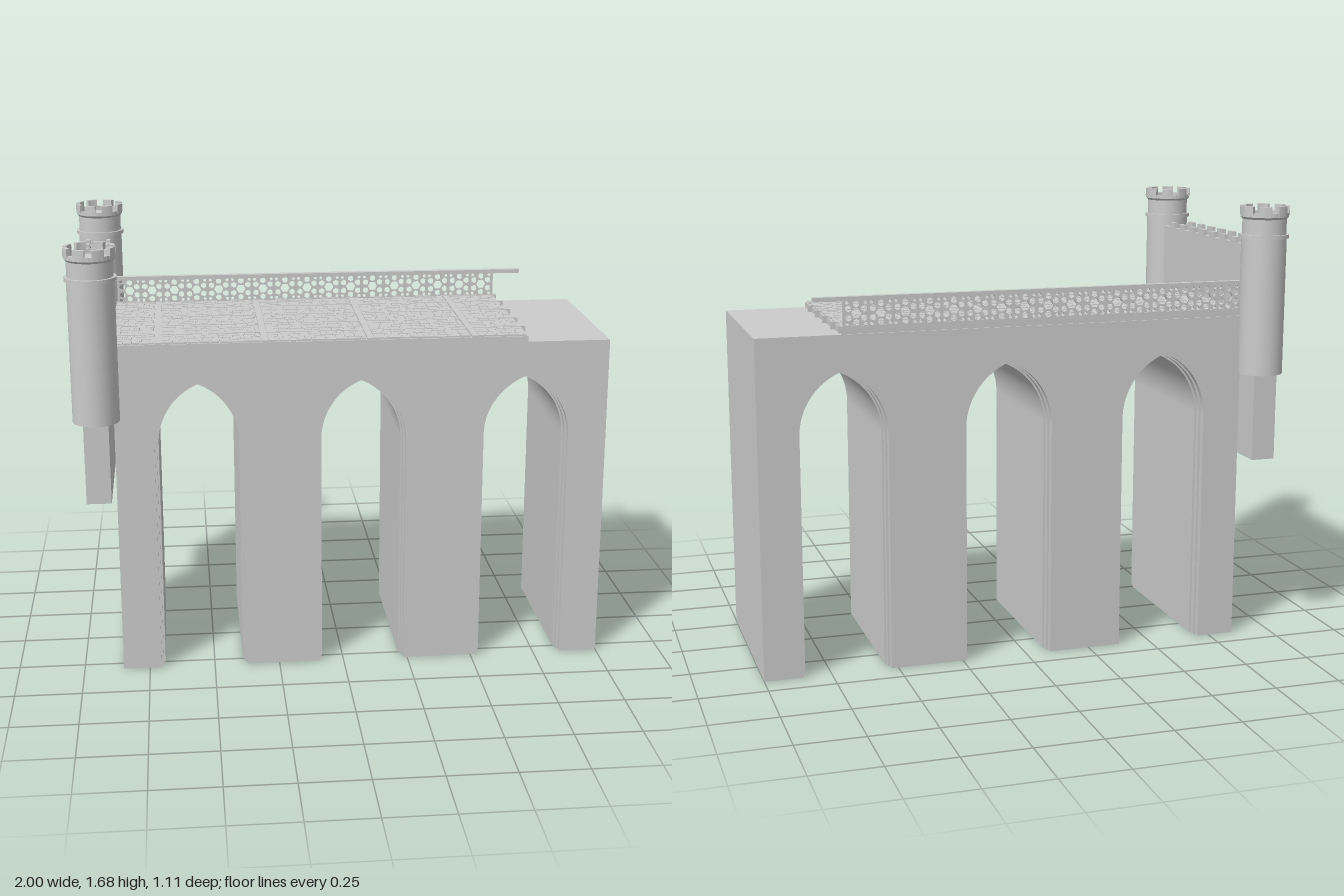
import * as THREE from 'three';
import { mergeGeometries } from 'three/addons/utils/BufferGeometryUtils.js';

const mat = new THREE.MeshStandardMaterial({ color: 0xcccccc });
const flat = new THREE.MeshStandardMaterial({ color: 0xcccccc, flatShading: true });

// Box given by its min and max on each axis
function block(x0, x1, y0, y1, z0, z1) {
  return new THREE.BoxGeometry(x1 - x0, y1 - y0, z1 - z0)
    .translate((x0 + x1) / 2, (y0 + y1) / 2, (z0 + z1) / 2);
}

function add(parent, name, geometry, material = mat) {
  const mesh = new THREE.Mesh(geometry, material);
  mesh.name = name;
  parent.add(mesh);
  return mesh;
}

function seeded(seed) {
  return () => (seed = (seed * 16807) % 2147483647) / 2147483647;
}

// Elevation with three pointed arches open at the ground
function arcadeSlice(halfWidth, rise, z0, z1) {
  const spring = 0.89;
  const shape = new THREE.Shape();
  shape.moveTo(-0.85, 0);
  const c = (rise * rise - halfWidth * halfWidth) / (2 * halfWidth);
  const radius = halfWidth + c;
  const apex = Math.acos(c / radius);
  for (const x of [-0.54, 0.07, 0.69]) {
    shape.lineTo(x - halfWidth, 0);
    shape.lineTo(x - halfWidth, spring);
    shape.absarc(x + c, spring, radius, Math.PI, Math.PI - apex, true);
    shape.absarc(x - c, spring, radius, apex, 0, true);
    shape.lineTo(x + halfWidth, 0);
  }
  shape.lineTo(1, 0);
  shape.lineTo(1, 1.26);
  shape.lineTo(-0.85, 1.26);
  return new THREE.ExtrudeGeometry(shape, { depth: z1 - z0, bevelEnabled: false, curveSegments: 14 })
    .translate(0, 0, z0);
}

function createArcade() {
  const group = new THREE.Group();
  group.name = 'arcade';
  add(group, 'arcadeCore', arcadeSlice(0.15, 0.225, -0.355, 0.25));
  add(group, 'frontInnerReveal', arcadeSlice(0.157, 0.233, 0.25, 0.275));
  add(group, 'frontOuterReveal', arcadeSlice(0.165, 0.24, 0.275, 0.3));
  add(group, 'backInnerReveal', arcadeSlice(0.157, 0.233, -0.38, -0.355));
  add(group, 'backOuterReveal', arcadeSlice(0.165, 0.24, -0.405, -0.38));
  return group;
}

// Slab, dividing bands and small irregular paving stones
function createPaving() {
  const group = new THREE.Group();
  group.name = 'paving';
  add(group, 'pavingBed', block(-0.85, 0.69, 1.255, 1.281, -0.4, 0.3));
  const crossX = [-0.68, -0.29, 0.1, 0.49];
  const longZ = [-0.28, -0.13, 0.015, 0.16];
  const bands = [
    ...crossX.map((x) => block(x - 0.012, x + 0.012, 1.262, 1.288, -0.398, 0.302)),
    ...longZ.map((z) => block(-0.85, 0.705, 1.262, 1.288, z - 0.008, z + 0.008)),
  ];
  add(group, 'pavingBands', mergeGeometries(bands));
  const rand = seeded(17);
  const xs = [-0.86, ...crossX, 0.702];
  const zs = [-0.405, ...longZ, 0.308];
  const stones = [];
  for (let i = 0; i < 5; i++) {
    for (let j = 0; j < 5; j++) {
      const z0 = zs[j] + 0.011, rows = 4, dz = (zs[j + 1] - 0.011 - z0) / rows;
      for (let r = 0; r < rows; r++) {
        let x = xs[i] + 0.014;
        const end = xs[i + 1] - 0.014;
        while (x < end - 0.01) {
          const next = Math.min(end, x + 0.025 + rand() * 0.03);
          const z = z0 + r * dz;
          stones.push(block(x, next - 0.003, 1.28, 1.286 + rand() * 0.002, z, z + dz - 0.003));
          x = next;
        }
      }
    }
  }
  add(group, 'pavingStones', mergeGeometries(stones));
  return group;
}

function polygonHole(x, y, r, sides, turn = 0) {
  const points = [];
  for (let i = 0; i < sides; i++) {
    const a = turn - (i / sides) * Math.PI * 2;
    points.push(new THREE.Vector2(x + r * Math.cos(a), y + r * Math.sin(a)));
  }
  return new THREE.Path(points);
}

// Pierced tracery panels under a long handrail
function createBalustrade() {
  const group = new THREE.Group();
  group.name = 'balustrade';
  const count = 17, x0 = -0.84, x1 = 0.68, w = (x1 - x0) / count, h = 0.096;
  const shape = new THREE.Shape();
  shape.moveTo(-w / 2, -h / 2);
  shape.lineTo(w / 2, -h / 2);
  shape.lineTo(w / 2, h / 2);
  shape.lineTo(-w / 2, h / 2);
  shape.closePath();
  shape.holes.push(polygonHole(0, 0, 0.019, 6));
  for (let i = 0; i < 6; i++) {
    const a = (i + 0.5) * Math.PI / 3;
    shape.holes.push(polygonHole(0.033 * Math.cos(a), 0.033 * Math.sin(a), 0.0125, 6, a));
  }
  for (const sx of [-1, 1]) {
    for (const sy of [-1, 1]) {
      shape.holes.push(polygonHole(sx * 0.034, sy * 0.038, 0.007, 6));
    }
  }
  const panel = new THREE.ExtrudeGeometry(shape, { depth: 0.01, bevelEnabled: false });
  const panels = [], posts = [];
  for (let i = 0; i <= count; i++) {
    const x = x0 + i * w;
    if (i < count) panels.push(panel.clone().translate(x + w / 2, 1.334, -0.402));
    posts.push(block(x - 0.004, x + 0.004, 1.285, 1.382, -0.404, -0.389));
  }
  add(group, 'traceryPanels', mergeGeometries(panels));
  add(group, 'balusterPosts', mergeGeometries(posts));
  add(group, 'bottomRail', block(-0.85, 0.7, 1.265, 1.29, -0.405, -0.387));
  add(group, 'handrail', block(-0.85, 0.79, 1.379, 1.394, -0.406, -0.383));
  return group;
}

// End wall with a walkway between two low battlements
function createEndWall() {
  const group = new THREE.Group();
  group.name = 'endWall';
  add(group, 'wallBody', block(-0.956, -0.865, 0.72, 1.512, -0.505, 0.425));
  const parapets = [], merlons = [];
  for (const [a, b] of [[-0.958, -0.942], [-0.879, -0.862]]) {
    parapets.push(block(a, b, 1.51, 1.528, -0.39, 0.39));
    for (let i = 0; i < 8; i++) {
      const z = 0.307 - i * 0.0985;
      merlons.push(block(a, b, 1.527, 1.548, z - 0.024, z + 0.024));
    }
  }
  add(group, 'parapets', mergeGeometries(parapets));
  add(group, 'wallMerlons', mergeGeometries(merlons));
  return group;
}

// Round turret: shaft, moulding ring, flared crown and merlons
function createTurret(z) {
  const group = new THREE.Group();
  group.name = 'turret';
  group.position.set(-0.905, 0, z);
  add(group, 'turretShaft', new THREE.CylinderGeometry(0.084, 0.084, 0.515, 32).translate(0, 1.3075, 0));
  add(group, 'turretRing', new THREE.CylinderGeometry(0.092, 0.092, 0.014, 32).translate(0, 1.568, 0));
  add(group, 'turretNeck', new THREE.CylinderGeometry(0.082, 0.082, 0.065, 32).translate(0, 1.607, 0));
  const profile = [[0.08, 1.63], [0.09, 1.64], [0.09, 1.655], [0.077, 1.655], [0.077, 1.635]]
    .map(([r, y]) => new THREE.Vector2(r, y));
  add(group, 'turretCrown', new THREE.LatheGeometry(profile, 32), flat);
  // Curved merlon, an arc of a ring raised upright
  const count = 8, half = 0.24;
  const arc = new THREE.Shape();
  arc.absarc(0, 0, 0.092, -half, half, false);
  arc.absarc(0, 0, 0.077, half, -half, true);
  const merlon = new THREE.ExtrudeGeometry(arc, { depth: 0.032, bevelEnabled: false, curveSegments: 4 })
    .rotateX(-Math.PI / 2).translate(0, 1.648, 0);
  const merlons = [];
  for (let i = 0; i < count; i++) merlons.push(merlon.clone().rotateY((i + 0.5) * Math.PI * 2 / count));
  add(group, 'turretMerlons', mergeGeometries(merlons));
  return group;
}

export function createModel() {
  const model = new THREE.Group();
  model.name = 'archedBridge';
  model.add(createArcade(), createPaving(), createBalustrade(), createEndWall());
  for (const z of [-0.463, 0.467]) model.add(createTurret(z));
  return model;
}
